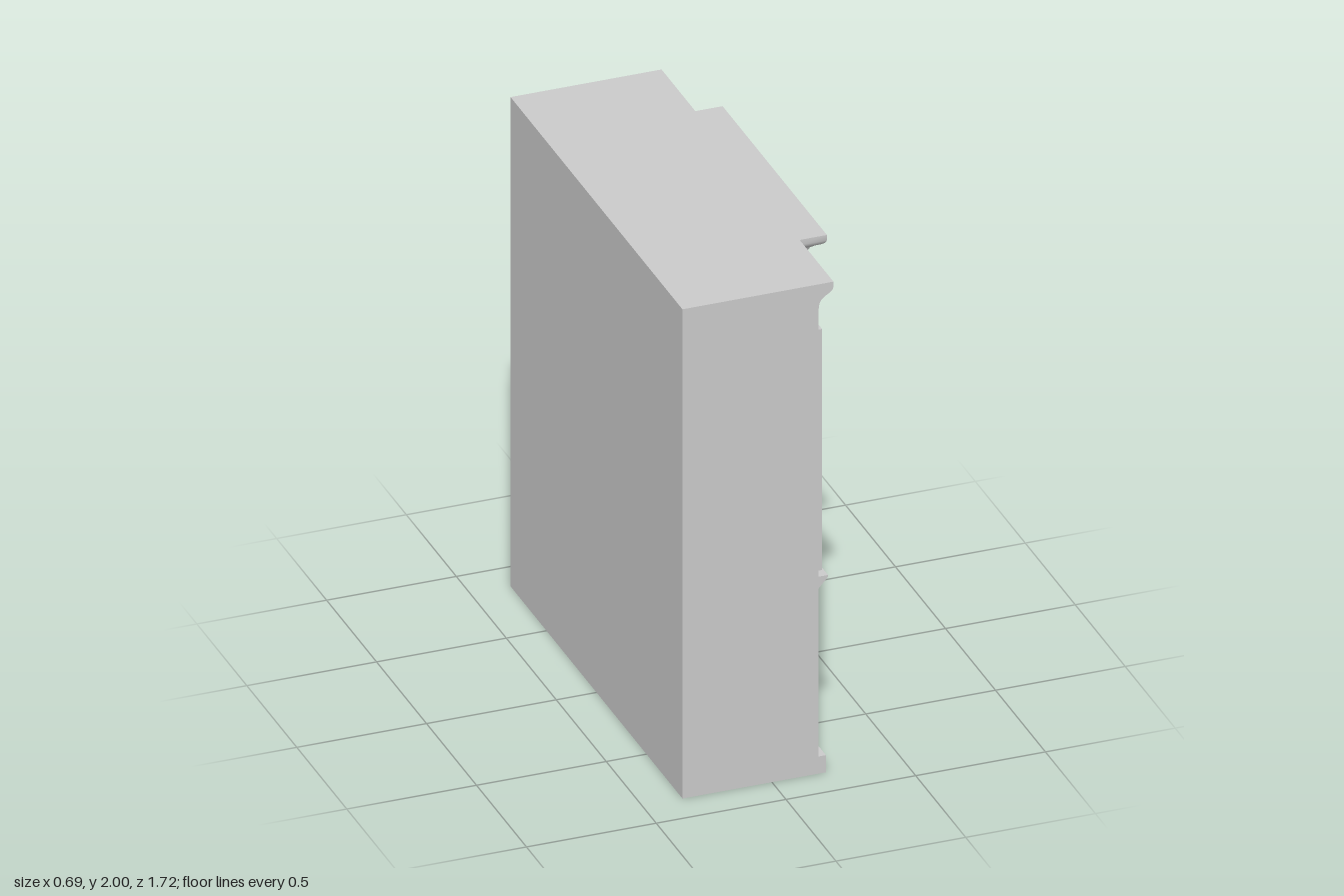
import * as THREE from 'three';
import { toCreasedNormals } from 'three/addons/utils/BufferGeometryUtils.js';

const BACK = -0.345, SIDE = 0.18, MID = 0.285;   // depth planes (x)
const HALF = 0.86, BAY = 0.465;                  // half widths (z)
const RECESS = 0.012, NICHE = -0.085;

export function createModel() {
  const model = new THREE.Group();
  const paint = new THREE.MeshStandardMaterial({ color: 0xcacaca });
  paint.name = 'greyPaint';

  const add = (name, geometry) => {
    const mesh = new THREE.Mesh(geometry, paint);
    mesh.name = name;
    model.add(mesh);
    return mesh;
  };

  // Rectangle outline across the width (z) and height (y)
  const rect = (z0, z1, y0, y1) => [[z0, y0], [z1, y0], [z1, y1], [z0, y1]];
  const mirror = (pts) => pts.map(([z, y]) => [-z, y]).reverse();

  // Plate with holes, standing across the width, between depths x0 and x1
  const plate = (name, outline, holes, x0, x1) => {
    const toVec = (pts) => pts.map(([z, y]) => new THREE.Vector2(-z, y)).reverse();
    const shape = new THREE.Shape(toVec(outline));
    holes.forEach((h) => shape.holes.push(new THREE.Path(toVec(h))));
    const g = new THREE.ExtrudeGeometry(shape, { depth: x1 - x0, bevelEnabled: false });
    g.rotateY(Math.PI / 2).translate(x0, 0, 0);
    return add(name, g);
  };
  const pair = (name, outline, holes, x0, x1) => {
    plate(name + 'Left', outline, holes, x0, x1);
    plate(name + 'Right', mirror(outline), holes.map(mirror), x0, x1);
  };

  // Stepped cabinet footprint pushed outward by o, lofted through [o, y] levels
  const footprint = (o) => [
    [BACK, HALF], [SIDE + o, HALF], [SIDE + o, BAY + o], [MID + o, BAY + o],
    [MID + o, -BAY - o], [SIDE + o, -BAY - o], [SIDE + o, -HALF], [BACK, -HALF],
  ];
  const loft = (name, levels) => {
    const pos = [], index = [], n = 8;
    levels.forEach(([o, y]) => footprint(o).forEach(([x, z]) => pos.push(x, y, z)));
    for (let l = 0; l < levels.length - 1; l++) {
      for (let i = 0; i < n; i++) {
        const a = l * n + i, b = l * n + (i + 1) % n;
        index.push(a, b, b + n, a, b + n, a + n);
      }
    }
    const cap = (o, base, flip) => {
      const pts = footprint(o).map(([x, z]) => new THREE.Vector2(x, -z));
      THREE.ShapeUtils.triangulateShape(pts, []).forEach(([a, b, c]) =>
        index.push(base + a, base + (flip ? c : b), base + (flip ? b : c)));
    };
    cap(levels[0][0], 0, true);
    cap(levels[levels.length - 1][0], (levels.length - 1) * n, false);
    const g = new THREE.BufferGeometry();
    g.setAttribute('position', new THREE.Float32BufferAttribute(pos, 3));
    g.setIndex(index);
    add(name, toCreasedNormals(g, 0.8));
  };

  // Horizontal mouldings: plinth, worktop and cornice
  loft('plinth', [[0.028, 0], [0.028, 0.07]]);
  loft('worktop', [[0, 0.757], [0.036, 0.798], [0.036, 0.805]]);
  loft('cornice', [[0, 1.9], [0.003, 1.92], [0.01, 1.935], [0.024, 1.947],
    [0.041, 1.957], [0.052, 1.966], [0.057, 1.978], [0.057, 2]]);

  // Lower cabinet: core and front frames with sunk door panels
  const sideDoor = rect(0.512, 0.819, 0.12, 0.713);
  const midDoor = rect(0.04, 0.428, 0.115, 0.522);
  plate('lowerCore', rect(-HALF, HALF, 0.05, 0.77), [], BACK, SIDE - RECESS);
  plate('lowerCentreCore', rect(-BAY, BAY, 0.05, 0.77), [], SIDE - RECESS, MID - RECESS);
  pair('lowerSideFront', rect(BAY, HALF, 0.05, 0.77), [sideDoor], SIDE - RECESS, SIDE);
  plate('lowerCentreFront', rect(-BAY, BAY, 0.05, 0.77), [midDoor, mirror(midDoor)], MID - RECESS, MID);

  // Notched door mouldings: wide band w2 x h1 crossed with tall band w1 x h2
  const notched = (z, y, w1, w2, h1, h2) => [
    [w2, -h1], [w2, h1], [w1, h1], [w1, h2], [-w1, h2], [-w1, h1],
    [-w2, h1], [-w2, -h1], [-w1, -h1], [-w1, -h2], [w1, -h2], [w1, -h1],
  ].map(([a, b]) => [z + a, y + b]);
  const moulding = (name, x, z, y, ...dims) => {
    const inset = (t) => notched(z, y, ...dims.map((d) => d - t));
    pair(name, inset(0), [inset(0.012)], x - RECESS, x - 0.004);
    pair(name + 'Lip', inset(0.003), [inset(0.008)], x - 0.004, x);
  };
  moulding('sideDoorMoulding', SIDE, 0.663, 0.415, 0.077, 0.125, 0.223, 0.262);
  moulding('centreDoorMoulding', MID, 0.234, 0.318, 0.134, 0.17, 0.143, 0.179);

  // Drawers with raised rims
  const drawerHole = rect(0.034, 0.437, 0.594, 0.72);
  pair('drawerRim', rect(0.021, 0.451, 0.58, 0.734), [drawerHole], MID, 0.299);
  pair('drawerPanel', drawerHole, [], MID, 0.291);

  // Round knobs, turned on the depth axis
  const knobProfile = [[0.004, 0], [0.004, 0.008], [0.009, 0.011], [0.01, 0.015], [0.007, 0.019], [0, 0.02]]
    .map(([r, h]) => new THREE.Vector2(r, h));
  for (const s of [1, -1]) {
    for (const [name, x, y, z] of [['drawerKnob', 0.289, 0.66, 0.233], ['doorKnob', 0.272, 0.317, 0.1]]) {
      const knob = add(name, new THREE.LatheGeometry(knobProfile, 16));
      knob.rotation.z = -Math.PI / 2;
      knob.position.set(x, y, s * z);
    }
  }

  // Upper cabinet: back, niche walls and front frames with sunk frieze panels
  const sideNiche = rect(0.499, 0.833, 0.831, 1.791);
  const midNiche = rect(-0.435, 0.435, 0.831, 1.793);
  const sideFrieze = rect(0.472, 0.854, 1.83, 1.896);
  const midFrieze = rect(0.008, 0.46, 1.83, 1.896);
  const Y0 = 0.8, Y1 = 1.91;
  plate('upperBack', rect(-HALF, HALF, 0.76, Y1), [], BACK, NICHE);
  plate('nicheWalls', rect(-HALF, HALF, Y0, Y1),
    [sideNiche, mirror(sideNiche), midNiche], NICHE, SIDE - RECESS);
  pair('upperSideFront', rect(BAY, HALF, Y0, Y1), [sideNiche, sideFrieze], SIDE - RECESS, SIDE);
  plate('centreNicheWalls', rect(-BAY, BAY, Y0, Y1), [midNiche], SIDE - RECESS, MID - RECESS);
  plate('upperCentreFront', rect(-BAY, BAY, Y0, Y1),
    [midNiche, midFrieze, mirror(midFrieze)], MID - RECESS, MID);

  // Raised frames around the openings
  pair('sideNicheFrame', rect(0.488, 0.843, 0.82, 1.805), [sideNiche], SIDE, 0.2);
  plate('centreNicheFrame', rect(-0.45, 0.45, 0.82, 1.807), [midNiche], MID, 0.3);
  plate('centreNicheBead', rect(-0.45, 0.45, 0.82, 1.807),
    [rect(-0.441, 0.441, 0.827, 1.799)], 0.3, 0.308);

  // Shelves in the side niches
  for (const y of [1.05, 1.315, 1.563]) {
    pair('shelf', rect(0.499, 0.833, y, y + 0.017), [], NICHE, 0.155);
  }
  return model;
}
